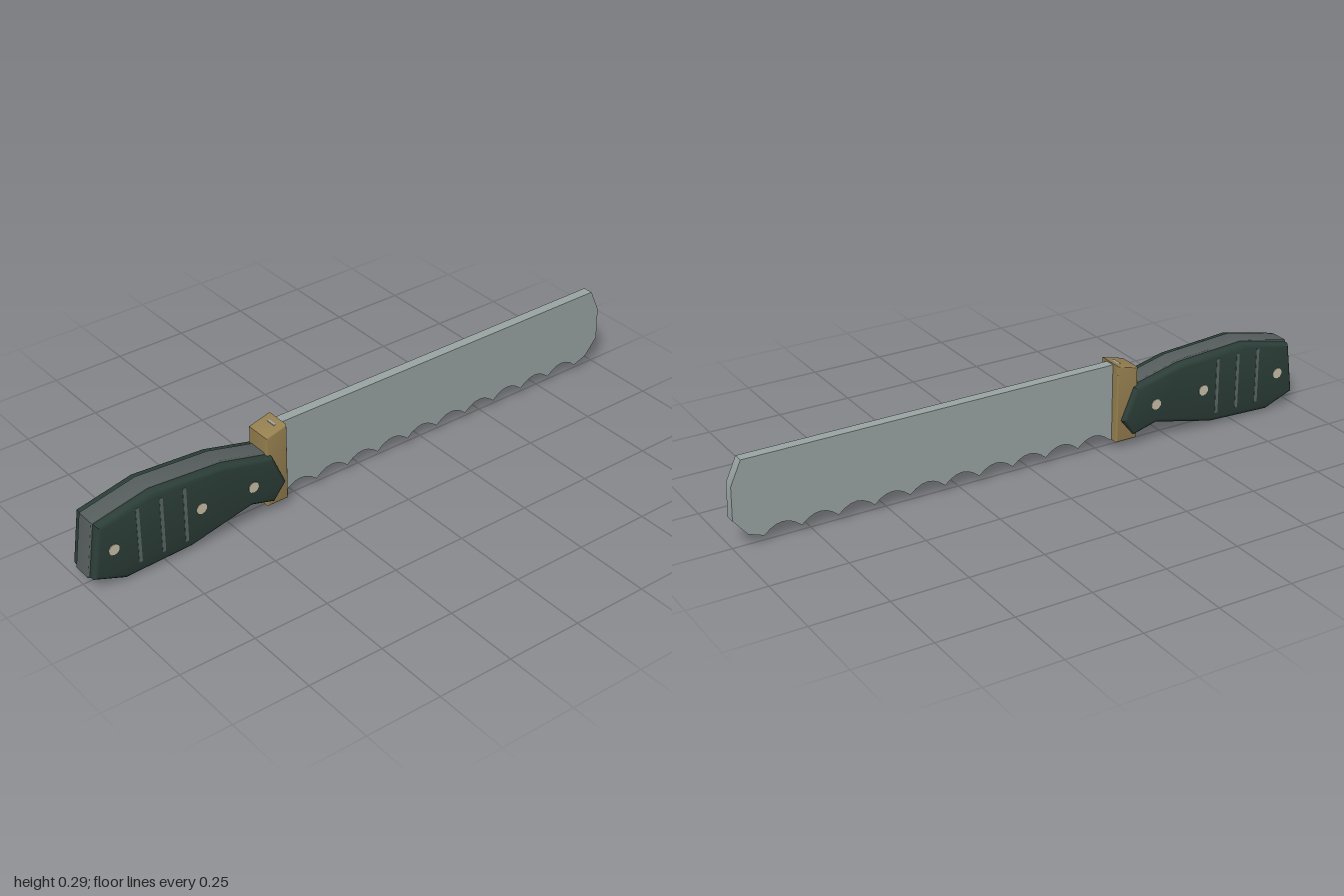
import * as THREE from 'three';
import { toCreasedNormals } from 'three/addons/utils/BufferGeometryUtils.js';

const material = (name, color) => {
  const m = new THREE.MeshStandardMaterial({ color });
  m.name = name;
  return m;
};

const toShape = (points) => new THREE.Shape(points.map(([x, y]) => new THREE.Vector2(x, y)));

// Extrudes a side profile to fill z0..z1, with rounded rims inside the outline.
function slab(shape, z0, z1, bevel = 0, inset = 0) {
  const geometry = new THREE.ExtrudeGeometry(shape, {
    depth: z1 - z0 - 2 * bevel,
    bevelEnabled: bevel > 0,
    bevelThickness: bevel,
    bevelSize: bevel,
    bevelOffset: -bevel - inset,
    bevelSegments: 3,
    curveSegments: 6,
  });
  geometry.translate(0, 0, z0 + bevel);
  return toCreasedNormals(geometry, 0.6);
}

export function createModel() {
  const steel = material('blade steel', 0x9aa5a4);
  const brass = material('brass', 0x96804f);
  const green = material('dark green grip', 0x2c3e38);
  const grey = material('tang grey', 0x565e5d);
  const lineGrey = material('groove grey', 0x5a6966);
  const cream = material('pin cream', 0xcbc2a8);

  const model = new THREE.Group();
  model.name = 'breadKnife';
  const add = (name, geometry, mat) => {
    const mesh = new THREE.Mesh(geometry, mat);
    mesh.name = name;
    model.add(mesh);
    return mesh;
  };

  // Blade with a blunt tip and a scalloped edge
  const blade = toShape([
    [-0.33, 0.03], [-0.33, 0.287], [0.963, 0.287], [0.998, 0.21],
    [1.0, 0.1], [0.955, 0.045], [0.905, 0.027],
  ]);
  const teeth = 10, pitch = 0.12;
  for (let i = 0; i < teeth; i++) {
    const x = 0.905 - i * pitch;
    blade.quadraticCurveTo(x - pitch / 2, 0.085, x - pitch, 0.027);
  }
  add('blade', slab(blade, -0.017, 0.017), steel);

  // Bolster with a sloping top
  const bolster = toShape([[-0.378, 0.027], [-0.302, 0.027], [-0.302, 0.292], [-0.378, 0.272]]);
  add('bolster', slab(bolster, -0.045, 0.045, 0.005), brass);

  // Handle: full tang between two rounded scales
  const handle = toShape([
    [-1.0, 0.045], [-0.89, 0.003], [-0.66, 0.013], [-0.445, 0.063], [-0.36, 0.04],
    [-0.312, 0.1], [-0.36, 0.212], [-0.535, 0.255], [-0.785, 0.271], [-0.975, 0.228],
  ]);
  add('tang', slab(handle, -0.034, 0.034, 0.004), grey);

  for (const side of [1, -1]) {
    const label = side > 0 ? 'front' : 'back';
    const z0 = side > 0 ? 0.014 : -0.062;
    add(label + 'Scale', slab(handle, z0, z0 + 0.048, 0.014, 0.005), green);

    // Pins
    for (const [x, y] of [[-0.925, 0.13], [-0.625, 0.14], [-0.44, 0.135]]) {
      const pin = add(label + 'Pin', new THREE.CylinderGeometry(0.018, 0.018, 0.006, 10), cream);
      pin.rotation.x = Math.PI / 2;
      pin.position.set(x, y, side * 0.061);
    }

    // Grip lines
    for (const x of [-0.84, -0.76, -0.68]) {
      const line = add(label + 'GripLine', new THREE.BoxGeometry(0.011, 0.19, 0.004), lineGrey);
      line.position.set(x, 0.142, side * 0.061);
    }
  }
  return model;
}
